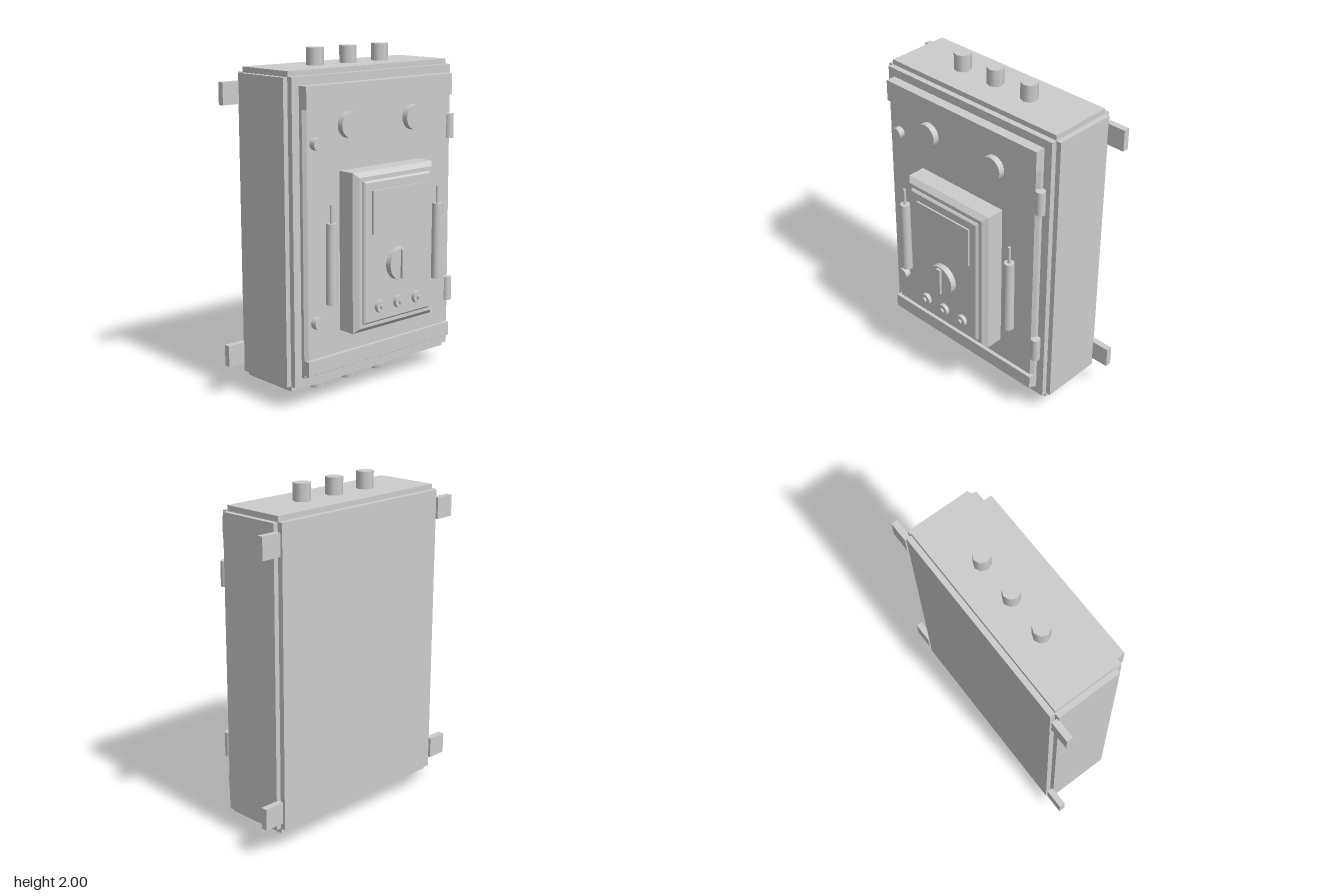
import * as THREE from 'three';

export function createModel() {
  const root = new THREE.Group();
  root.name = 'electricalCabinet';
  const grey = new THREE.MeshStandardMaterial({ color: 0xcccccc });
  grey.name = 'plain grey';

  const add = (name, geometry, x = 0, y = 0, z = 0) => {
    const mesh = new THREE.Mesh(geometry, grey);
    mesh.name = name;
    mesh.position.set(x, y, z);
    root.add(mesh);
    return mesh;
  };
  // Box given by its limits along each axis
  const box = (name, [x0, x1], [y0, y1], [z0, z1]) =>
    add(name, new THREE.BoxGeometry(x1 - x0, y1 - y0, z1 - z0),
      (x0 + x1) / 2, (y0 + y1) / 2, (z0 + z1) / 2);
  // Panel facing +x with chamfered edges
  const panel = (name, [x0, x1], [y0, y1], halfZ, bevel) => {
    const h = (y1 - y0) / 2;
    const shape = new THREE.Shape([
      new THREE.Vector2(-halfZ, -h), new THREE.Vector2(halfZ, -h),
      new THREE.Vector2(halfZ, h), new THREE.Vector2(-halfZ, h),
    ]);
    const g = new THREE.ExtrudeGeometry(shape, {
      depth: x1 - x0 - 2 * bevel, bevelEnabled: true, bevelSegments: 1,
      bevelThickness: bevel, bevelSize: bevel, bevelOffset: -bevel,
    });
    g.translate(0, 0, bevel).rotateY(Math.PI / 2);
    return add(name, g, x0, (y0 + y1) / 2, 0);
  };
  // Round part whose axis points along +x
  const disc = (name, [x0, x1], r, y, z, sides = 24) =>
    add(name, new THREE.CylinderGeometry(r, r, x1 - x0, sides).rotateZ(-Math.PI / 2),
      (x0 + x1) / 2, y, z);

  // Cabinet shell with stepped edges
  box('cabinetDepth', [-0.35, 0.107], [0.135, 1.87], [-0.615, 0.615]);
  box('cabinetHeight', [-0.318, 0.073], [0.105, 1.9], [-0.613, 0.613]);
  box('cabinetWidth', [-0.318, 0.073], [0.137, 1.868], [-0.645, 0.645]);

  // Door and its cross rails
  panel('door', [0.08, 0.147], [0.185, 1.82], 0.565, 0.018);
  box('topRail', [0.11, 0.17], [1.695, 1.822], [-0.566, 0.566]);
  box('bottomRail', [0.11, 0.17], [0.205, 0.29], [-0.566, 0.566]);

  // Hinges
  for (const y of [1.507, 0.5])
    add('hinge', new THREE.CylinderGeometry(0.028, 0.028, 0.145, 16), 0.14, y, -0.578);

  // Wall brackets
  for (const s of [-1, 1])
    for (const [y0, y1] of [[1.695, 1.822], [0.185, 0.31]])
      box('wallBracket', [-0.352, -0.314], [y0, y1], s < 0 ? [-0.755, -0.63] : [0.63, 0.755]);

  // Cable glands above and below
  for (const z of [-0.25, 0, 0.25])
    for (const y of [1.94, 0.06])
      add('cableGland', new THREE.CylinderGeometry(0.05, 0.05, 0.12, 8), -0.123, y, z);

  // Indicator lamps and lock screws
  for (const z of [-0.25, 0.25]) disc('indicatorLamp', [0.13, 0.185], 0.073, 1.59, z);
  for (const y of [1.507, 0.5]) disc('lockScrew', [0.13, 0.185], 0.035, y, 0.493, 16);

  // Meter housing, faceplate and screen
  panel('meterHousing', [0.11, 0.281], [0.42, 1.338], 0.312, 0.027);
  panel('faceplate', [0.26, 0.297], [0.47, 1.288], 0.262, 0.01);
  box('screen', [0.28, 0.308], [0.985, 1.232], [-0.206, 0.206]);

  // Selector dial with grip
  disc('selectorDial', [0.28, 0.334], 0.095, 0.79, 0, 32);
  box('dialGrip', [0.32, 0.349], [0.705, 0.875], [-0.015, 0.015]);

  // Input sockets
  for (const z of [-0.147, 0, 0.147]) {
    disc('socket', [0.28, 0.32], 0.037, 0.562, z, 16);
    disc('socketPin', [0.31, 0.333], 0.015, 0.562, z, 12);
  }

  // Test probes
  for (const z of [-0.42, 0.42]) {
    add('probeHandle', new THREE.CylinderGeometry(0.03, 0.033, 0.46, 16), 0.202, 0.835, z);
    add('probeTip', new THREE.CylinderGeometry(0.009, 0.009, 0.12, 8), 0.202, 1.11, z);
  }
  return root;
}
